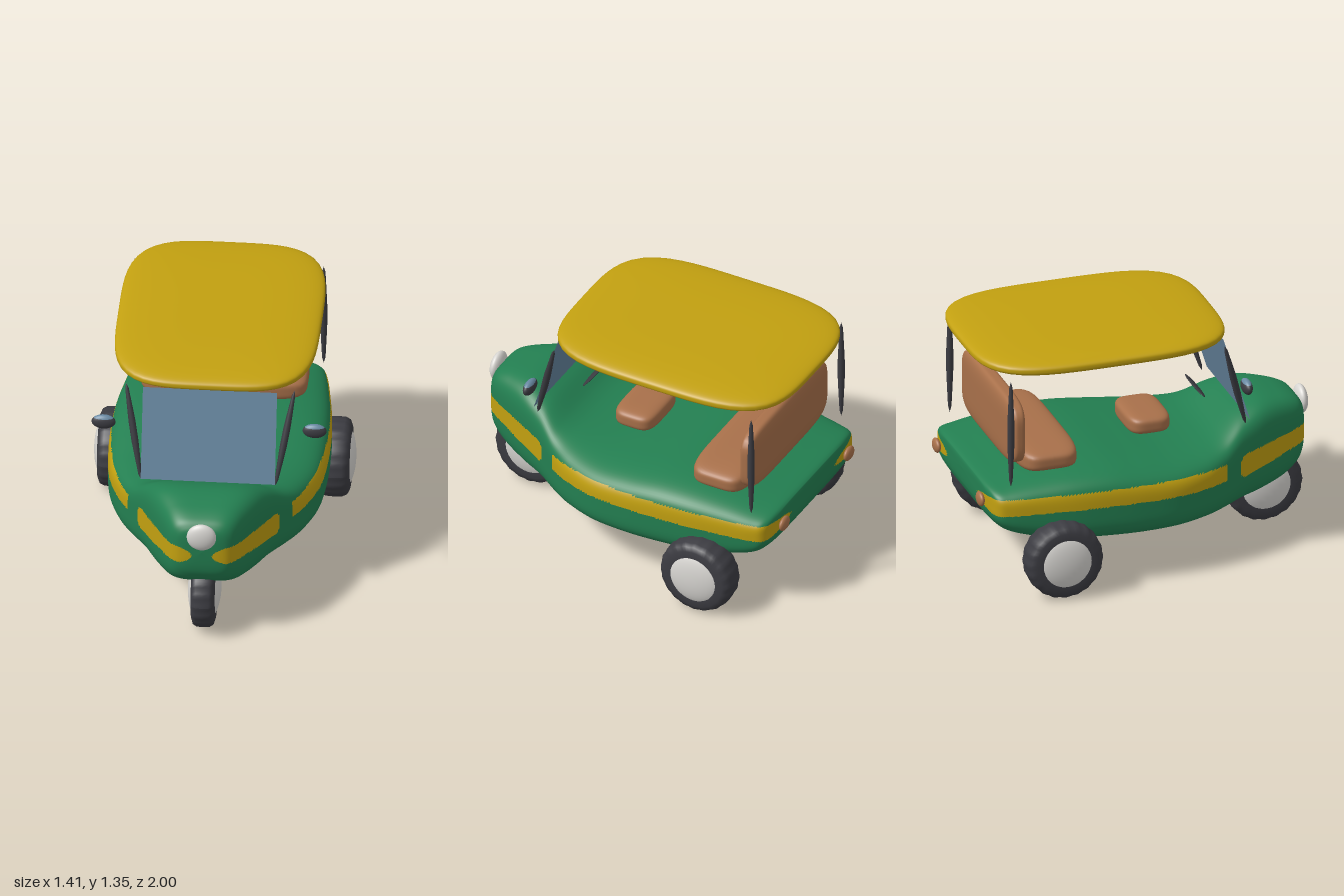
import * as THREE from 'three';

const mat = (name, color) => {
  const m = new THREE.MeshStandardMaterial({ color });
  m.name = name;
  return m;
};

export function createModel() {
  const green = mat('green paint', 0x237f51);
  const yellow = mat('yellow paint', 0xc2a010);
  const brown = mat('brown leather', 0xa8704a);
  const dark = mat('dark rubber', 0x3c3c42);
  const white = mat('white enamel', 0xd8d6d2);
  const glass = mat('blue glass', 0x6787a0);
  glass.side = THREE.DoubleSide;

  const model = new THREE.Group();
  model.name = 'threeWheeler';
  const add = (name, geo, material, x = 0, y = 0, z = 0, parent = model) => {
    const mesh = new THREE.Mesh(geo, material);
    mesh.name = name;
    mesh.position.set(x, y, z);
    parent.add(mesh);
    return mesh;
  };

  // Ellipsoid with half sizes a, b, c
  const ellipsoid = (a, b, c) => new THREE.SphereGeometry(1, 32, 20).scale(a, b, c);

  // Rounded cushion: superellipse in plan (power n) and in height (power m)
  const pillow = (a, b, c, n, m) => {
    const geo = new THREE.SphereGeometry(1, 72, 48);
    const p = geo.attributes.position;
    for (let i = 0; i < p.count; i++) {
      // spread the rings evenly over the flat top and the rounded rim
      const x = p.getX(i), y = p.getY(i), z = p.getZ(i);
      const rho = Math.pow(Math.abs(x) ** n + Math.abs(z) ** n, 1 / n);
      const s = Math.pow(rho ** m + Math.abs(y) ** m, -1 / m);
      p.setXYZ(i, x * s * a, y * s * b, z * s * c);
    }
    geo.computeVertexNormals();
    return geo;
  };

  // Slim post, thick in the middle and pointed at both ends
  const post = (name, from, to, r = 0.019) => {
    const a = new THREE.Vector3(...from), b = new THREE.Vector3(...to);
    const len = a.distanceTo(b);
    const profile = [[0, -0.5], [0.5, -0.44], [0.8, -0.25], [1, -0.1], [1, 0.1], [0.8, 0.25], [0.5, 0.44], [0, 0.5]]
      .map(([x, y]) => new THREE.Vector2(x * r, y * len));
    const mesh = add(name, new THREE.LatheGeometry(profile, 16), dark);
    mesh.position.copy(a).lerp(b, 0.5);
    mesh.quaternion.setFromUnitVectors(new THREE.Vector3(0, 1, 0), b.sub(a).normalize());
  };

  // Body stations from tail to nose: z, half width, top, bottom
  const stations = [
    [-0.96, 0, 0.55, 0.55], [-0.957, 0.3, 0.59, 0.48], [-0.948, 0.43, 0.603, 0.44],
    [-0.92, 0.505, 0.613, 0.39], [-0.85, 0.535, 0.625, 0.335], [-0.7, 0.56, 0.648, 0.285],
    [-0.5, 0.585, 0.668, 0.25], [-0.3, 0.595, 0.67, 0.236], [-0.1, 0.592, 0.65, 0.23],
    [0.1, 0.57, 0.632, 0.232], [0.28, 0.51, 0.638, 0.238], [0.4, 0.445, 0.668, 0.244],
    [0.53, 0.365, 0.75, 0.252], [0.66, 0.305, 0.79, 0.266], [0.8, 0.235, 0.776, 0.3],
    [0.89, 0.188, 0.748, 0.355], [0.93, 0.15, 0.715, 0.41], [0.948, 0.1, 0.67, 0.47], [0.955, 0, 0.57, 0.57],
  ];
  const spline = f => new THREE.CatmullRomCurve3(stations.map(f), false, 'catmullrom', 0.5);
  const sizes = spline(s => new THREE.Vector3(s[1], s[2], s[3]));
  const depth = spline(s => new THREE.Vector3(s[0], 0, 0));

  // Where the body carries its yellow stripes
  const { lerp, clamp } = THREE.MathUtils;
  const striped = (x, y, z) => {
    x = Math.abs(x);
    if (z > 0.495) {
      const t = clamp((z - 0.495) / 0.4, 0, 1);
      const taper = clamp((x - 0.055) / 0.07, 0, 1);
      const mid = lerp(0.492, 0.545, t), half = lerp(0.067, 0.05, t) * Math.sqrt(taper);
      return Math.abs(y - mid) < half * Math.sqrt(clamp((z - 0.49) / 0.03, 0, 1));
    }
    if (z > 0.4) return false;
    const mid = 0.515 + 0.008 * Math.sin((0.1 - z) * 3);
    const taper = z < -0.9 ? clamp((x - 0.25) / 0.2, 0, 1) : 1;
    return Math.abs(y - mid) < 0.046 * Math.sqrt(taper);
  };

  // Lofted body shell, split into green and yellow faces
  const rows = 190, cols = 160;
  const pos = [], plain = [], painted = [];
  for (let i = 0; i <= rows; i++) {
    const s = sizes.getPoint(i / rows), z = depth.getPoint(i / rows).x;
    const mid = (s.y + s.z) / 2, h = (s.y - s.z) / 2;
    for (let j = 0; j < cols; j++) {
      const a = (j / cols) * Math.PI * 2, c = Math.cos(a), d = Math.sin(a);
      const n = 4.2;
      const k = Math.pow(Math.abs(c) ** n + Math.abs(d) ** n, -1 / n);
      pos.push(Math.max(s.x, 0) * c * k, mid + h * d * k, z);
    }
  }
  const face = (...ids) => {
    const avg = k => ids.reduce((t, id) => t + pos[id * 3 + k], 0) / 3;
    (striped(avg(0), avg(1), avg(2)) ? painted : plain).push(...ids);
  };
  for (let i = 0; i < rows; i++) {
    for (let j = 0; j < cols; j++) {
      const a = i * cols + j, b = i * cols + (j + 1) % cols;
      face(a, b, a + cols);
      face(b, b + cols, a + cols);
    }
  }
  const shell = new THREE.BufferGeometry();
  shell.setAttribute('position', new THREE.Float32BufferAttribute(pos, 3));
  shell.setIndex([...plain, ...painted]);
  shell.addGroup(0, plain.length, 0);
  shell.addGroup(plain.length, painted.length, 1);
  shell.computeVertexNormals();
  add('body', shell, [green, yellow]);

  // Roof and seats
  add('roof', pillow(0.55, 0.054, 0.71, 3.8, 3.2), yellow, 0, 1.3, -0.26);
  add('driverSeat', pillow(0.18, 0.055, 0.12, 4, 4), brown, 0, 0.715, 0.065);
  add('rearBench', pillow(0.45, 0.07, 0.17, 5, 4), brown, 0, 0.715, -0.59);
  const back = pillow(0.45, 0.052, 0.187, 5, 4).rotateX(Math.PI / 2);
  add('rearBackrest', back, brown, 0, 0.888, -0.78);

  // Windscreen
  const screen = add('windscreen', new THREE.PlaneGeometry(0.725, 0.515), glass, 0, 1.012, 0.48);
  screen.rotation.x = -Math.atan2(0.15, 0.49);

  // Handlebar
  add('handlebar', ellipsoid(0.15, 0.008, 0.034), dark, 0, 0.838, 0.365).rotation.x = 0.72;

  // Tyre with a lumpy tread, axle along x
  const tyre = half => {
    const R = 0.212;
    const profile = [[0, -half], [0.14, -half], [0.175, -half * 0.97], [0.2, -half * 0.84], [R, -half * 0.55], [R + 0.003, 0],
      [R, half * 0.55], [0.2, half * 0.84], [0.175, half * 0.97], [0.14, half], [0, half]]
      .map(p => new THREE.Vector2(...p));
    const geo = new THREE.LatheGeometry(profile, 80);
    const p = geo.attributes.position;
    for (let i = 0; i < p.count; i++) {
      const x = p.getX(i), z = p.getZ(i);
      const k = Math.hypot(x, z) > 0.19 ? 1 + 0.012 * Math.cos(20 * Math.atan2(x, z)) : 1;
      p.setXYZ(i, x * k, p.getY(i), z * k);
    }
    geo.computeVertexNormals();
    return geo.rotateZ(Math.PI / 2);
  };
  add('frontTyre', tyre(0.065), dark, 0, 0.217, 0.75);
  add('frontHub', ellipsoid(0.09, 0.2, 0.2), white, 0, 0.217, 0.75);

  // Headlight
  add('headlight', ellipsoid(0.08, 0.08, 0.035), white, 0, 0.675, 0.965);

  // Paired parts
  for (const s of [-1, 1]) {
    const side = s > 0 ? 'left' : 'right';
    add(side + 'RearTyre', tyre(0.085), dark, s * 0.597, 0.217, -0.59);
    add(side + 'RearHub', ellipsoid(0.057, 0.165, 0.165), white, s * 0.65, 0.217, -0.59);
    add(side + 'TailLight', ellipsoid(0.05, 0.04, 0.02), brown, s * 0.365, 0.525, -0.98);
    post(side + 'FrontPillar', [s * 0.363, 0.745, 0.53], [s * 0.455, 1.265, 0.38]);
    post(side + 'RearPillar', [s * 0.51, 0.64, -0.855], [s * 0.51, 1.26, -0.855]);

    // Mirror: dark shell below, glass cap above
    const mirror = new THREE.Group();
    mirror.name = side + 'Mirror';
    mirror.position.set(s * 0.57, 1.065, 0.465);
    const part = (from, to) => new THREE.SphereGeometry(1, 28, 14, 0, Math.PI * 2, from, to - from).scale(0.065, 0.042, 0.028);
    add(side + 'MirrorGlass', part(0, 0.95), glass, 0, 0, 0, mirror);
    add(side + 'MirrorShell', part(0.95, Math.PI), dark, 0, 0, 0, mirror);
    model.add(mirror);
  }
  return model;
}
